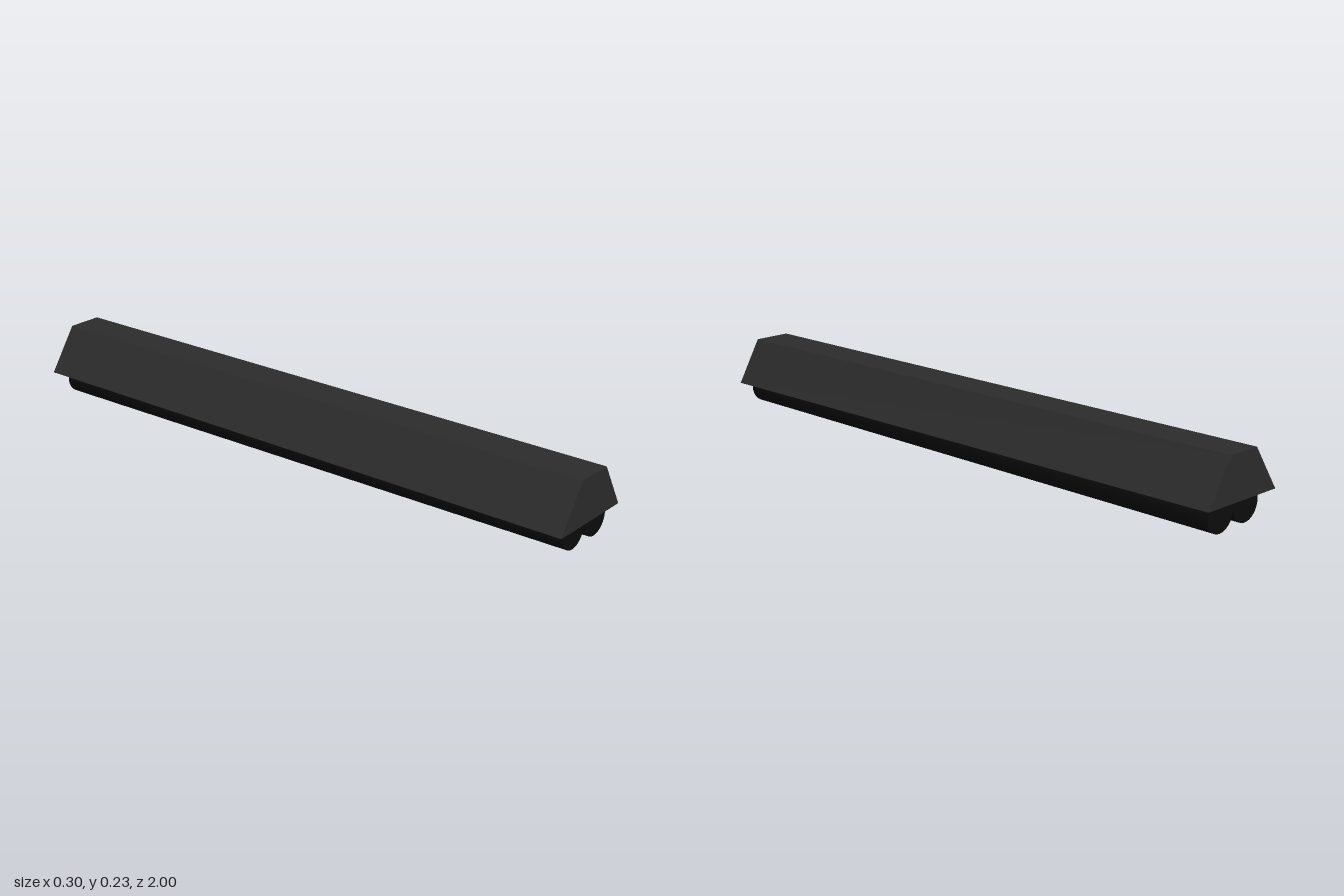
import * as THREE from 'three';

const housingMaterial = new THREE.MeshStandardMaterial({ color: 0x2c2c2c, flatShading: true });
const tubeMaterial = new THREE.MeshStandardMaterial({ color: 0x0c0c0c });

// Trapezoid housing running the full length
function createHousing() {
  const profile = new THREE.Shape([
    new THREE.Vector2(-0.15, 0.09),
    new THREE.Vector2(0.15, 0.09),
    new THREE.Vector2(0.07, 0.23),
    new THREE.Vector2(-0.055, 0.23),
  ]);
  const geometry = new THREE.ExtrudeGeometry(profile, { depth: 2, bevelEnabled: false });
  geometry.translate(0, 0, -1);

  // The upper left ridge narrows slightly towards the back
  const position = geometry.attributes.position;
  for (let i = 0; i < position.count; i++) {
    if (position.getY(i) > 0.2 && position.getX(i) > 0 && position.getZ(i) < 0) position.setX(i, 0.06);
  }
  geometry.computeVertexNormals();

  const housing = new THREE.Mesh(geometry, housingMaterial);
  housing.name = 'housing';
  return housing;
}

// Round lamp tube between two end points
function createTube(name, front, back, radius) {
  const axis = front.clone().sub(back);
  const geometry = new THREE.CylinderGeometry(radius, radius, axis.length(), 32);
  const tube = new THREE.Mesh(geometry, tubeMaterial);
  tube.name = name;
  tube.position.copy(front).add(back).multiplyScalar(0.5);
  tube.quaternion.setFromUnitVectors(new THREE.Vector3(0, 1, 0), axis.normalize());
  return tube;
}

export function createModel() {
  const model = new THREE.Group();
  model.name = 'tubeLight';
  model.add(createHousing());

  // Twin tubes, drooping slightly towards the back
  const radius = 0.056;
  const tubes = [
    ['leftTube', 0.058, 0.073, 0.057],
    ['rightTube', -0.055, 0.073, 0.062],
  ];
  for (const [name, x, frontY, backY] of tubes) {
    model.add(createTube(name, new THREE.Vector3(x, frontY, 0.98), new THREE.Vector3(x, backY, -0.97), radius));
  }
  return model;
}
